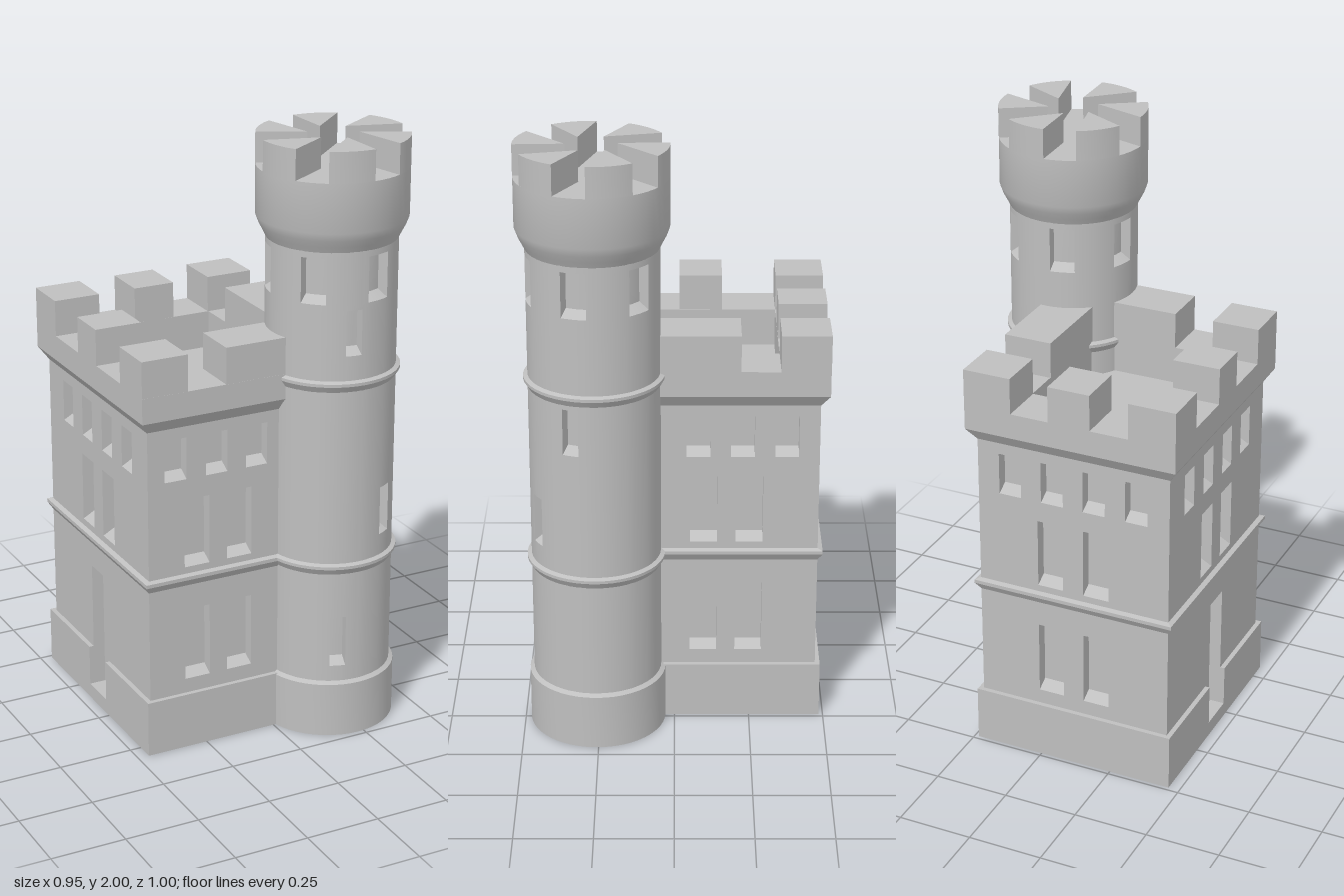
import * as THREE from 'three';
import { toCreasedNormals } from 'three/addons/utils/BufferGeometryUtils.js';

const stone = new THREE.MeshStandardMaterial({ color: 0xbfbfbf });
stone.name = 'stone grey';

// House half sizes and centre, tower radius and centre
const HX = 0.333, HZ = 0.383, CX = -0.113, CZ = -0.0875;
const R = 0.212, TX = 0.228, TZ = 0.256;

function add(parent, name, geometry, crease = 0.5) {
  const mesh = new THREE.Mesh(toCreasedNormals(geometry, crease), stone);
  mesh.name = name;
  parent.add(mesh);
  return mesh;
}

function box(x0, x1, y0, y1, z0, z1) {
  return new THREE.BoxGeometry(x1 - x0, y1 - y0, z1 - z0)
    .translate((x0 + x1) / 2, (y0 + y1) / 2, (z0 + z1) / 2);
}

// Wall skin with recessed openings {u0,u1,v0,v1,rise}; place(u, v, depth) gives the point
function piercedWall(us, vs, holes, place, depth) {
  const sorted = (list) => [...new Set(list)].sort((a, b) => a - b);
  const U = sorted([...us, ...holes.flatMap((h) => [h.u0, h.u1])]);
  const V = sorted([...vs, ...holes.flatMap((h) => [h.v0, h.v1])]);
  const pos = [];
  const quad = (...corners) => {
    const p = corners.map((c) => place(...c));
    for (const i of [0, 1, 2, 0, 2, 3]) pos.push(...p[i]);
  };
  for (let i = 0; i < U.length - 1; i++) {
    const a = U[i], b = U[i + 1], mu = (a + b) / 2;
    for (let j = 0; j < V.length - 1; j++) {
      const c = V[j], d = V[j + 1], mv = (c + d) / 2;
      if (holes.some((h) => mu > h.u0 && mu < h.u1 && mv > h.v0 && mv < h.v1)) continue;
      quad([a, c, 0], [b, c, 0], [b, d, 0], [a, d, 0]);
    }
    // sloping sill, back and head of each opening
    for (const h of holes) {
      if (mu < h.u0 || mu > h.u1) continue;
      const s = h.v0 + h.rise;
      quad([a, h.v0, 0], [b, h.v0, 0], [b, s, depth], [a, s, depth]);
      quad([a, s, depth], [b, s, depth], [b, h.v1, depth], [a, h.v1, depth]);
      quad([a, h.v1, depth], [b, h.v1, depth], [b, h.v1, 0], [a, h.v1, 0]);
    }
  }
  // side reveals
  for (const { u0, u1, v0, v1, rise } of holes) {
    quad([u0, v0, 0], [u0, v0 + rise, depth], [u0, v1, depth], [u0, v1, 0]);
    quad([u1, v0 + rise, depth], [u1, v0, 0], [u1, v1, 0], [u1, v1, depth]);
  }
  const g = new THREE.BufferGeometry();
  g.setAttribute('position', new THREE.Float32BufferAttribute(pos, 3));
  return g;
}

const opening = (u, width, v0, v1, rise = 0.022) =>
  ({ u0: u - width / 2, u1: u + width / 2, v0, v1, rise });

// Moulding of [outset, y] points swept around the rectangular house
function rectBand(profile) {
  const g = new THREE.LatheGeometry(
    profile.map(([o, y]) => new THREE.Vector2(1 + o, y)), 4, Math.PI / 4);
  const p = g.attributes.position;
  for (let i = 0; i < p.count; i++) {
    const x = p.getX(i), z = p.getZ(i), o = Math.hypot(x, z) - 1;
    p.setX(i, Math.sign(x) * (HX + o));
    p.setZ(i, Math.sign(z) * (HZ + o));
  }
  return g;
}

function buildHouse() {
  const house = new THREE.Group();
  house.name = 'house';
  const ground = (u) => opening(u, 0.089, 0.24, 0.49);
  const middle = (u) => opening(u, 0.089, 0.64, 0.875);
  const upper = (u) => opening(u, 0.077, 0.945, 1.087);
  const door = opening(0, 0.13, 0.05, 0.49, 0);

  // Four walls, each made facing +z and turned into place
  const walls = [
    ['frontWall', 0, [-0.161, -0.009], [-0.235, -0.09, 0.053]],
    ['leftWall', 1, [0.0075, 0.157], [-0.01, 0.134, 0.277]],
    ['backWall', 2, [-0.08, 0.08], [-0.22, -0.073, 0.073, 0.22]],
    ['rightWall', 3, [-0.08, 0.08], [-0.23, -0.077, 0.077, 0.23]],
  ];
  for (const [name, turn, pairs, row] of walls) {
    const half = turn % 2 ? HZ : HX, out = turn % 2 ? HX : HZ;
    const holes = [...(turn === 3 ? [door] : pairs.map(ground)),
      ...pairs.map(middle), ...row.map(upper)];
    const g = piercedWall([-half, half], [0, 1.13], holes, (u, v, d) => [u, v, out - d], 0.04);
    add(house, name, g).rotation.y = turn * Math.PI / 2;
  }

  // Plinth, notched for the doorway
  const bx = HX + 0.016, bz = HZ + 0.016, nx = HX - 0.04;
  add(house, 'plinthSlab', box(-bx, bx, 0, 0.05, -bz, bz));
  const outline = new THREE.Shape([[-bx, -bz], [bx, -bz], [bx, bz], [-bx, bz],
    [-bx, 0.065], [-nx, 0.065], [-nx, -0.065], [-bx, -0.065]].map((p) => new THREE.Vector2(...p)));
  add(house, 'plinth', new THREE.ExtrudeGeometry(outline, { depth: 0.14, bevelEnabled: false })
    .rotateX(-Math.PI / 2).translate(0, 0.05, 0));

  // Mouldings, parapet and roof
  add(house, 'beltCourse', rectBand([[0, 0.575], [0.016, 0.6], [0.016, 0.612], [0, 0.617]]), 0.3);
  add(house, 'parapet', rectBand([[0, 1.125], [0.029, 1.167], [0.029, 1.252],
    [-0.131, 1.252], [-0.131, 1.12]]), 0.3);
  add(house, 'roof', box(-0.21, 0.21, 1.1, 1.125, -0.26, 0.26));
  house.position.set(CX, 0, CZ);
  return house;
}

function buildMerlons() {
  const merlons = new THREE.Group();
  merlons.name = 'houseMerlons';
  const footprints = [
    [-0.475, -0.316, -0.5, -0.34], [-0.186, -0.043, -0.5, -0.34], [0.087, 0.249, -0.5, -0.34],
    [-0.475, -0.316, -0.16, -0.017], [-0.475, -0.316, 0.163, 0.324],
    [-0.183, 0.15, 0.163, 0.324], [0.087, 0.249, -0.213, 0.2],
  ];
  for (const [x0, x1, z0, z1] of footprints) add(merlons, 'merlon', box(x0, x1, 1.252, 1.374, z0, z1));
  return merlons;
}

function buildTower() {
  const tower = new THREE.Group();
  tower.name = 'tower';
  const rad = THREE.MathUtils.degToRad;

  // Shaft with stair windows and a ring of six lookout windows
  const holes = [[-19, 0.25, 0.425], [30, 0.69, 0.855], [70.5, 1.04, 1.195], [-9, 1.33, 1.48]]
    .map(([a, v0, v1]) => opening(rad(a), 0.25, v0, v1));
  for (let a = -165; a < 180; a += 60) holes.push(opening(rad(a), 0.39, 1.5, 1.65));
  const us = Array.from({ length: 49 }, (_, i) => rad(-180 + i * 7.5));
  add(tower, 'shaft', piercedWall(us, [0, 1.68], holes,
    (u, v, d) => [(R - d) * Math.sin(u), v, (R - d) * Math.cos(u)], 0.035));

  // Turned mouldings and crown
  const turned = (name, points) => add(tower, name,
    new THREE.LatheGeometry(points.map((p) => new THREE.Vector2(...p)), 48), 0.4);
  turned('towerPlinth', [[0, 0], [0.226, 0], [0.226, 0.186], [R, 0.195]]);
  for (const y of [0.58, 1.21]) {
    turned('towerBelt', [[R, y], [0.226, y + 0.022], [0.226, y + 0.032], [R, y + 0.038]]);
  }
  turned('crown', [[R, 1.67], [0.222, 1.69], [0.234, 1.713], [0.244, 1.74], [0.244, 1.9], [0, 1.9]]);

  // Wedge merlons
  const half = rad(17.5), inner = 0.081;
  const wedge = new THREE.Shape();
  wedge.moveTo(inner * Math.cos(half), -inner * Math.sin(half));
  wedge.absarc(0, 0, 0.244, -half, half, false);
  wedge.lineTo(inner * Math.cos(half), inner * Math.sin(half));
  wedge.closePath();
  for (let i = 0; i < 6; i++) {
    const g = new THREE.ExtrudeGeometry(wedge, { depth: 0.1, bevelEnabled: false, curveSegments: 6 });
    add(tower, 'towerMerlon', g.rotateX(-Math.PI / 2).translate(0, 1.9, 0))
      .rotation.y = rad(15 + 60 * i);
  }
  tower.position.set(TX, 0, TZ);
  return tower;
}

export function createModel() {
  const model = new THREE.Group();
  model.name = 'castleHouse';
  model.add(buildHouse(), buildMerlons(), buildTower());
  return model;
}
